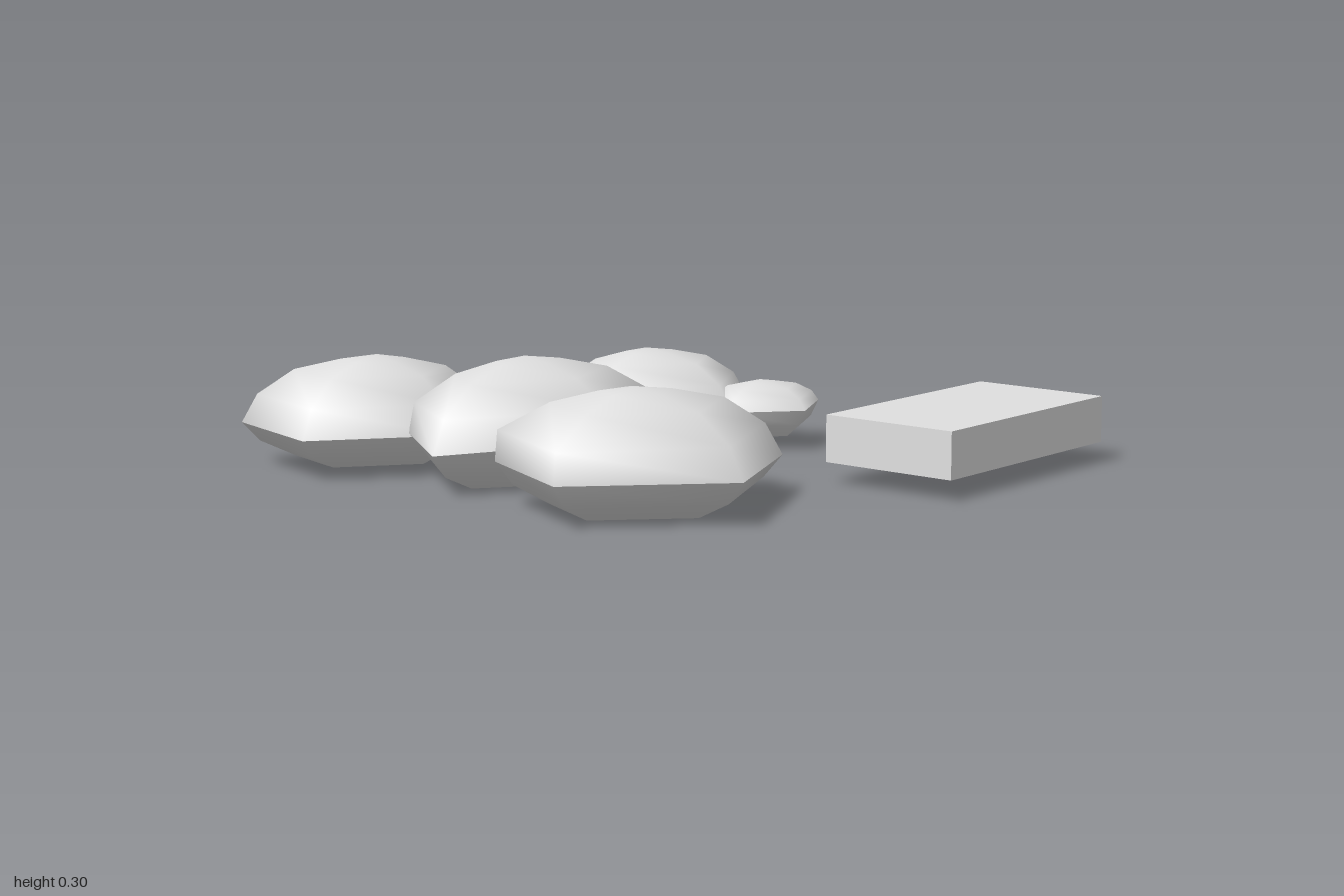
import * as THREE from 'three';

// Dome profile: [share of the outline, share of the height above the edge].
// The share of the second ring is set by each corner's steepness.
const DOME = [[1, 0], [0.88, 0.42], [0.6, 0.79], [0.25, 0.95], [0, 1]];
// Skirt profile: [share of the outline, share of the edge height above the rim]
const SKIRT = [[0.6, 0], [0.87, 0.45], [1, 1]];

// Each rock: peak [x, y, z], rim height, rim tilt along z, outline corners
// [x, z, optional edge height, optional steepness] running clockwise from above.
const ROCKS = [
  { name: 'backLeftRock', peak: [-0.7, 0.288, -0.375], rim: 0.025, tilt: 0,
    corners: [[-1, -0.555], [-0.565, -0.69], [-0.38, -0.37], [-0.58, -0.13], [-0.95, -0.22]] },
  { name: 'middleRock', peak: [-0.405, 0.305, -0.085], rim: 0.02, tilt: -0.12,
    corners: [[-0.29, -0.385], [-0.03, -0.085, 0.12, 0.92], [-0.29, 0.178, 0.12, 0.98],
      [-0.735, 0.115], [-0.69, -0.165, 0.12, 0.95]] },
  { name: 'frontRock', peak: [-0.34, 0.295, 0.415], rim: 0.008, tilt: 0,
    corners: [[-0.625, 0.24, 0.11, 0.98], [-0.235, 0.135], [0.06, 0.415, 0.1],
      [-0.215, 0.738], [-0.625, 0.588, 0.11, 0.98]] },
  { name: 'backRightRock', peak: [0.09, 0.25, -0.41], rim: 0.025, tilt: 0,
    corners: [[-0.11, -0.535, 0.11, 0.93], [0.175, -0.64, 0.13, 0.97], [0.385, -0.41], [0.22, -0.18], [-0.14, -0.28]] },
  { name: 'smallRightRock', peak: [0.33, 0.175, -0.21], rim: 0.035, tilt: 0,
    corners: [[0.2, -0.28], [0.395, -0.36], [0.505, -0.21], [0.385, -0.065], [0.19, -0.125]] },
  { name: 'smallBackRock', peak: [-0.435, 0.16, -0.625], rim: 0.035, tilt: 0,
    corners: [[-0.575, -0.705], [-0.385, -0.74], [-0.26, -0.62], [-0.38, -0.49], [-0.53, -0.53]] },
  { name: 'smallFrontRock', peak: [-0.09, 0.155, 0.265], rim: 0.04, tilt: 0,
    corners: [[-0.2, 0.18, 0.1], [-0.095, 0.15, 0.1], [0.06, 0.33, 0.1], [-0.04, 0.4, 0.1], [-0.22, 0.36, 0.1]] },
];

// Skin closed rings, listed from bottom to top, with smooth normals
function loft(rings) {
  const n = rings[0].length;
  const index = [];
  for (let r = 0; r < rings.length - 1; r++) {
    for (let i = 0; i < n; i++) {
      const a = r * n + i, b = r * n + (i + 1) % n;
      index.push(a, a + n, b + n, a, b + n, b);
    }
  }
  const geometry = new THREE.BufferGeometry();
  geometry.setAttribute('position', new THREE.Float32BufferAttribute(rings.flat(2), 3));
  geometry.setIndex(index);
  geometry.computeVertexNormals();
  return geometry;
}

function makeRock({ name, peak: [px, py, pz], rim, tilt, corners }, material) {
  const domeRings = DOME.map(([share, rise], r) => corners.map(([x, z, edge = 0.11, steep = share]) => {
    const s = r === 1 ? steep : share;
    return [px + (x - px) * s, edge + (py - edge) * rise, pz + (z - pz) * s];
  }));
  // open-bottomed skirt curving inward below the widest edge
  const skirtRings = SKIRT.map(([s, rise]) => corners.map(([x, z, edge = 0.11]) => {
    const low = Math.max(0, rim + tilt * (z - pz) * s);
    return [px + (x - px) * s, low + (edge - low) * rise, pz + (z - pz) * s];
  }));
  const dome = new THREE.Mesh(loft(domeRings), material);
  dome.name = 'dome';
  // the coincident peak points all face up
  const normals = dome.geometry.attributes.normal;
  for (let i = normals.count - corners.length; i < normals.count; i++) normals.setXYZ(i, 0, 1, 0);
  const skirt = new THREE.Mesh(loft(skirtRings), material);
  skirt.name = 'skirt';
  const rock = new THREE.Group();
  rock.name = name;
  rock.add(dome, skirt);
  return rock;
}

export function createModel() {
  const model = new THREE.Group();
  model.name = 'rocksAndSlab';
  const stone = new THREE.MeshStandardMaterial({ color: 0xe0e0e0, side: THREE.DoubleSide });
  stone.name = 'pale grey stone';

  for (const spec of ROCKS) model.add(makeRock(spec, stone));

  // Rectangular block beside the rocks
  const slab = new THREE.Mesh(new THREE.BoxGeometry(0.682, 0.12, 0.376), stone);
  slab.name = 'slab';
  slab.position.set(0.61, 0.115, 0.375);
  slab.rotation.y = 0.417;
  model.add(slab);
  return model;
}
